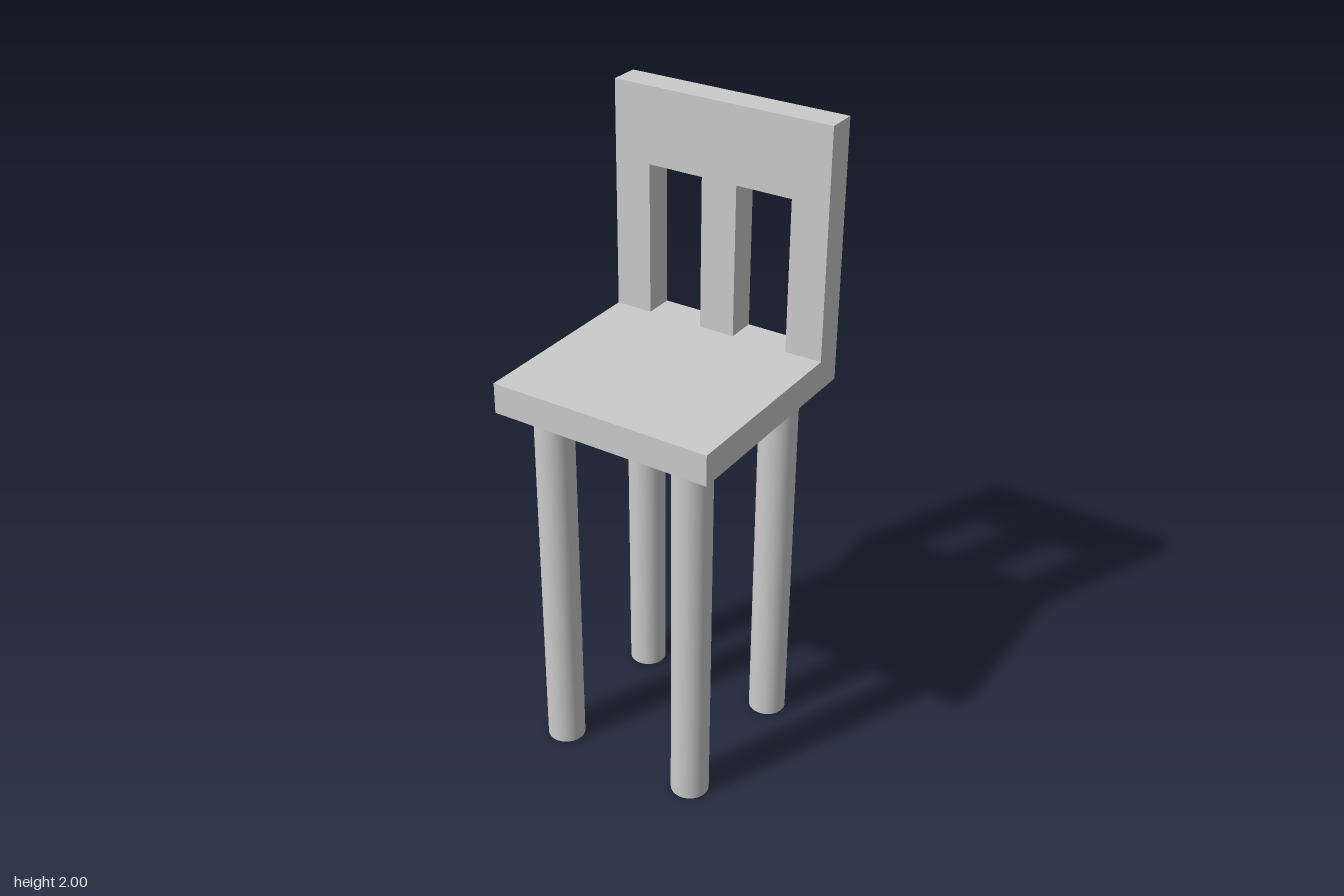
import * as THREE from 'three';

const HALF = 0.352;       // half width and depth of the seat
const SEAT_BOTTOM = 1.2;
const SEAT_TOP = 1.295;
const RAIL_BOTTOM = 1.767;
const BACK_FRONT = -0.26; // front face of the backrest

export function createModel() {
  const group = new THREE.Group();
  const material = new THREE.MeshStandardMaterial({ color: 0xcccccc });

  // Box given by its extents along each axis
  const addBox = (name, x0, x1, y0, y1, z0, z1) => {
    const mesh = new THREE.Mesh(new THREE.BoxGeometry(x1 - x0, y1 - y0, z1 - z0), material);
    mesh.position.set((x0 + x1) / 2, (y0 + y1) / 2, (z0 + z1) / 2);
    mesh.name = name;
    group.add(mesh);
  };

  // Seat slab
  addBox('seat', -HALF, HALF, SEAT_BOTTOM, SEAT_TOP, -HALF, HALF);

  // Backrest: two outer posts, a centre slat and the top rail
  const addUpright = (name, x0, x1) => addBox(name, x0, x1, SEAT_TOP, RAIL_BOTTOM, -HALF, BACK_FRONT);
  addUpright('rightBackPost', -HALF, -0.235);
  addUpright('centreSlat', -0.057, 0.057);
  addUpright('leftBackPost', 0.235, HALF);
  addBox('topRail', -HALF, HALF, RAIL_BOTTOM, 2, -HALF, BACK_FRONT);

  // Four round legs
  const legGeometry = new THREE.CylinderGeometry(0.0588, 0.0588, SEAT_BOTTOM, 48);
  for (const [side, x] of [['Left', 0.235], ['Right', -0.235]]) {
    for (const [end, z] of [['front', 0.235], ['back', -0.235]]) {
      const leg = new THREE.Mesh(legGeometry, material);
      leg.name = `${end}${side}Leg`;
      leg.position.set(x, SEAT_BOTTOM / 2, z);
      group.add(leg);
    }
  }
  return group;
}
